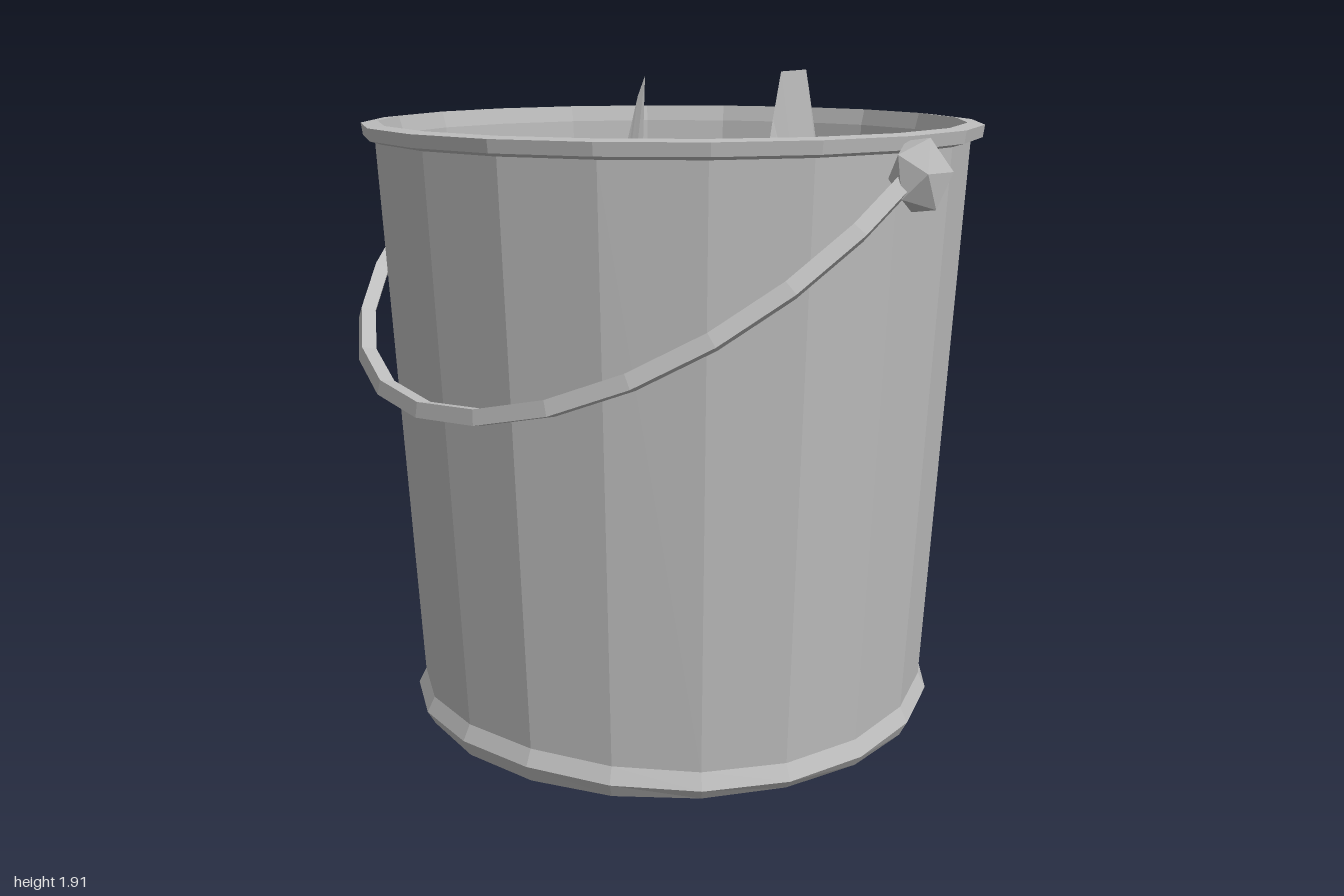
import * as THREE from 'three';

export function createModel() {
  const model = new THREE.Group();
  const grey = new THREE.MeshStandardMaterial({ color: 0xbcbcbc, flatShading: true, side: THREE.DoubleSide });
  grey.name = 'plain grey';

  const add = (name, geometry, parent = model) => {
    const mesh = new THREE.Mesh(geometry, grey);
    mesh.name = name;
    parent.add(mesh);
    return mesh;
  };

  let seed = 7;
  const jitter = (amount) => {
    seed = (seed * 16807) % 2147483647;
    return (seed / 2147483647 - 0.5) * 2 * amount;
  };

  // Builds a surface from equal rows of points
  const loft = (rows) => {
    const n = rows[0].length;
    const index = [];
    for (let i = 0; i < rows.length - 1; i++) {
      for (let j = 0; j < n - 1; j++) {
        const a = i * n + j, b = a + n;
        index.push(a, b, a + 1, a + 1, b, b + 1);
      }
    }
    const geometry = new THREE.BufferGeometry();
    geometry.setAttribute('position', new THREE.Float32BufferAttribute(rows.flat(2), 3));
    geometry.setIndex(index);
    geometry.computeVertexNormals();
    return geometry;
  };

  // Bucket shell: foot band, tapered wall, rolled rim, inner wall and floor
  const profile = [
    [0, 0], [0.775, 0], [0.798, 0.04], [0.775, 0.085], [0.862, 1.72], [0.895, 1.73],
    [0.9, 1.765], [0.852, 1.77], [0.838, 1.72], [0.75, 0.08], [0, 0.08],
  ].map(([r, y]) => new THREE.Vector2(r, y));
  const shell = add('bucket', new THREE.LatheGeometry(profile, 20));
  shell.position.z = -0.015;
  // Small dents along the foot band
  const p = shell.geometry.attributes.position;
  for (let i = 0; i < p.count; i++) {
    const y = p.getY(i);
    if (y === 0 || y > 0.1 || Math.hypot(p.getX(i), p.getZ(i)) < 0.76) continue;
    const a = Math.atan2(p.getX(i), p.getZ(i));
    p.setY(i, y + 0.012 * Math.sin(3 * a + 1));
  }
  shell.geometry.computeVertexNormals();

  // Handle: square bail resting forward on the wall
  const points = [];
  for (let i = 0; i <= 14; i++) {
    const t = (i / 14) * Math.PI;
    const s = Math.pow(Math.max(0, Math.sin(t)), 0.94);
    points.push(new THREE.Vector3(-0.93 * Math.cos(t), 1.675 - 0.635 * s, 0.01 + 0.865 * s));
  }
  add('handle', new THREE.TubeGeometry(new THREE.CatmullRomCurve3(points), 14, 0.03, 4));

  // Handle ears on both sides
  for (const side of [-1, 1]) {
    const ear = add(side > 0 ? 'leftEar' : 'rightEar', new THREE.IcosahedronGeometry(1, 0));
    ear.scale.set(0.075, 0.105, 0.095);
    ear.position.set(side * 0.936, 1.67, -0.01);
    ear.rotation.z = side * 0.15;
  }

  // Crumpled filling: [x, z, height, spread] of each lump
  const filling = new THREE.Group();
  filling.name = 'filling';
  model.add(filling);
  const lumps = [
    [0, 0, 1.5, 0.3], [-0.6, -0.1, 1.53, 0.28], [-0.55, -0.42, 1.54, 0.2], [-0.05, -0.52, 1.67, 0.17],
    [-0.3, -0.5, 1.6, 0.18], [0.25, -0.3, 1.68, 0.16], [0.65, 0, 1.62, 0.14], [0.27, -0.65, 1.5, 0.13],
    [-0.42, -0.22, 1.62, 0.14], [0.6, 0.32, 1.52, 0.13], [-0.3, 0.58, 1.42, 0.16], [0.15, 0.5, 1.47, 0.16],
    [0.4, 0.25, 1.54, 0.14], [-0.45, 0.25, 1.5, 0.16],
  ];
  const height = (x, z) => {
    const r = Math.hypot(x, z);
    const base = 1.4 - 0.2 * THREE.MathUtils.smoothstep(r, 0.5, 0.78);
    return lumps.reduce((h, [lx, lz, top, w]) => {
      const d = ((x - lx) ** 2 + (z - lz) ** 2) / (w * w);
      return Math.max(h, base + (top - base) * Math.exp(-d));
    }, base);
  };
  const rings = [0, 0.12, 0.24, 0.36, 0.46, 0.55, 0.64, 0.72, 0.815].map((r, i, all) => {
    const row = [];
    const last = i === all.length - 1;
    for (let j = 0; j < 26; j++) {
      const free = i > 0 && !last ? 1 : 0;
      const a = (j / 26) * Math.PI * 2 + jitter(0.07) * free;
      const rr = r + jitter(0.035) * free;
      const x = Math.sin(a) * rr, z = Math.cos(a) * rr - 0.015;
      row.push([x, height(x, z) + jitter(rr > 0.4 ? 0.045 : 0.025) * free, z]);
    }
    row.push(row[0]);
    return row;
  });
  add('crumpledHeap', loft(rings), filling);

  // Torn folds standing up out of the heap: top edge points, foot offset and foot height
  const fold = (name, top, dx, dz, foot) =>
    add(name, loft([top, top.map(([x, y, z]) => [x + dx, Math.min(foot, y), z + dz])]), filling);
  fold('tallFold', [[0.08, 1.72, -0.5], [0.11, 1.85, -0.48], [0.2, 1.91, -0.37], [0.31, 1.91, -0.15],
    [0.31, 1.78, -0.12], [0.41, 1.6, 0.02]], 0.06, -0.03, 1.45);
  fold('pointedFold', [[-0.5, 1.58, -0.33], [-0.45, 1.88, -0.3], [-0.37, 1.82, -0.2],
    [-0.27, 1.78, -0.1], [-0.24, 1.55, 0]], -0.03, 0.04, 1.45);
  fold('frontFold', [[-0.25, 1.58, 0], [-0.15, 1.57, 0.2], [-0.02, 1.55, 0.38],
    [0.06, 1.5, 0.55], [0.24, 1.48, 0.58]], -0.08, 0.05, 1.36);
  fold('sideFold', [[0.42, 1.62, -0.05], [0.4, 1.58, 0.18], [0.32, 1.56, 0.38], [0.24, 1.5, 0.55]], 0.07, 0.02, 1.38);
  fold('outerFold', [[0.58, 1.6, -0.18], [0.72, 1.66, -0.04], [0.7, 1.62, 0.15], [0.62, 1.56, 0.33]], 0.02, 0.02, 1.35);
  fold('backFold', [[-0.62, 1.5, -0.5], [-0.3, 1.62, -0.56], [-0.05, 1.7, -0.6], [0.03, 1.66, -0.42]], 0.01, -0.03, 1.3);
  return model;
}
